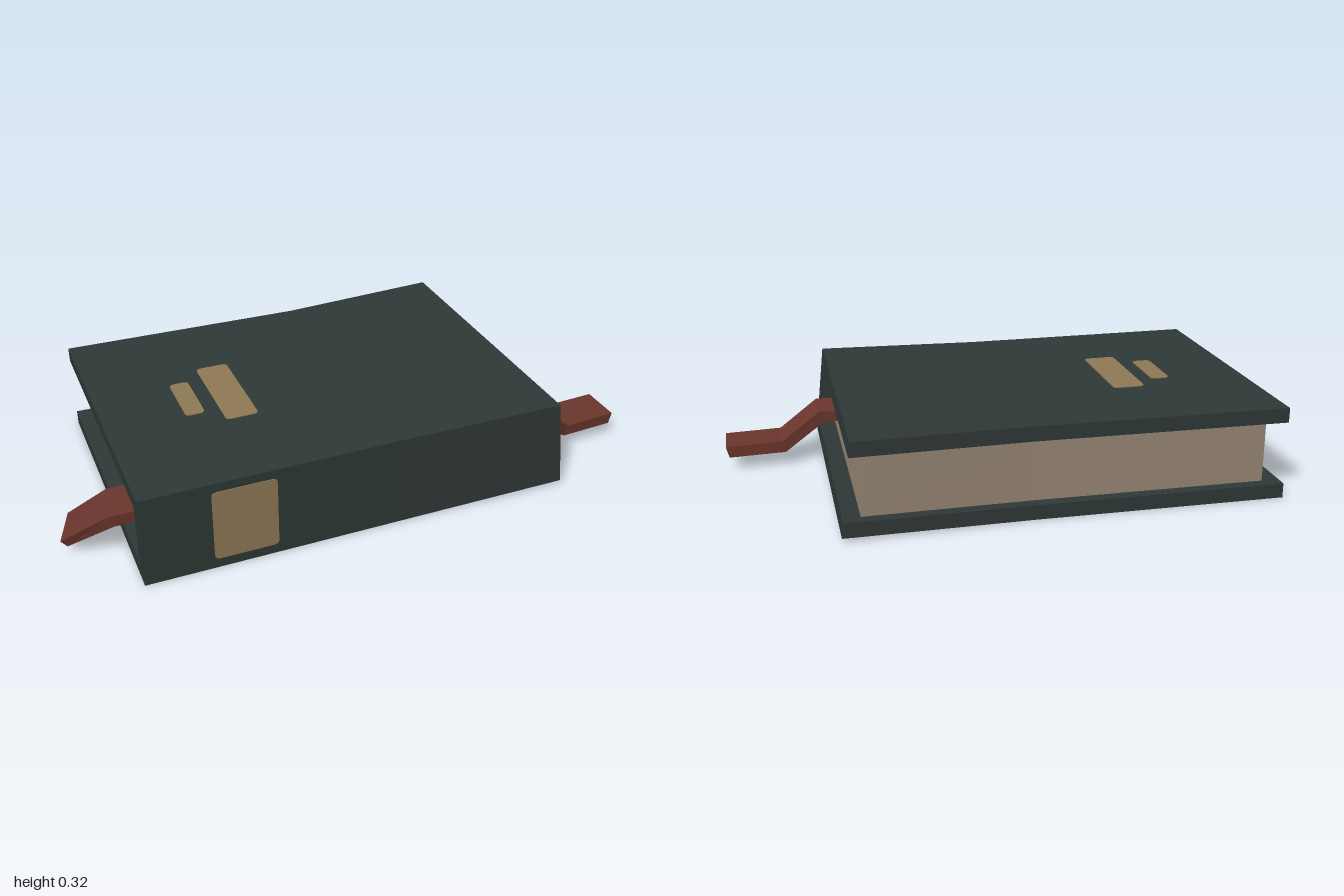
import * as THREE from 'three';

// Four-cornered section in the z-y plane; bottom and top may sit at different x, skew shifts the front edge
const rect = (xBot, xTop, y0, y1, zb, zf, skew = 0) => [
  [xBot, y0, zb], [xBot + skew, y0, zf], [xTop + skew, y1, zf], [xTop, y1, zb],
];

// Joins matching sections, ordered along +x, into a closed faceted solid
function loft(sections) {
  const pos = [];
  const tri = (a, b, c) => pos.push(...a, ...b, ...c);
  const n = sections[0].length;
  for (let s = 0; s < sections.length - 1; s++) {
    const p = sections[s], q = sections[s + 1];
    for (let i = 0; i < n; i++) {
      const j = (i + 1) % n;
      tri(p[i], q[j], p[j]);
      tri(p[i], q[i], q[j]);
    }
  }
  const first = sections[0], last = sections[sections.length - 1];
  const caps = THREE.ShapeUtils.triangulateShape(first.map(([, y, z]) => new THREE.Vector2(z, y)), []);
  for (const [a, b, c] of caps) {
    tri(first[a], first[b], first[c]);
    tri(last[a], last[c], last[b]);
  }
  const geo = new THREE.BufferGeometry();
  geo.setAttribute('position', new THREE.Float32BufferAttribute(pos, 3));
  geo.computeVertexNormals();
  return geo;
}

// C-shaped cover section: back board, spine and front board in one outline
function coverSection(xBot, xTop, y0, y1, zb, zf) {
  const t = 0.05;
  const xAt = (y) => xBot + (xTop - xBot) * (y - y0) / (y1 - y0);
  return [
    [zb, y0], [zf, y0], [zf, y1], [zb, y1],
    [zb, y1 - t], [zf - t, y1 - t], [zf - t, y0 + t], [zb, y0 + t],
  ].map(([z, y]) => [xAt(y), y, z]);
}

// Thin plate with rounded corners, facing +z
function plate(w, h, r = 0.016) {
  const s = new THREE.Shape();
  const a = w / 2, b = h / 2;
  s.moveTo(-a + r, -b);
  s.lineTo(a - r, -b);
  s.quadraticCurveTo(a, -b, a, -b + r);
  s.lineTo(a, b - r);
  s.quadraticCurveTo(a, b, a - r, b);
  s.lineTo(-a + r, b);
  s.quadraticCurveTo(-a, b, -a, b - r);
  s.lineTo(-a, -b + r);
  s.quadraticCurveTo(-a, -b, -a + r, -b);
  return new THREE.ExtrudeGeometry(s, { depth: 0.006, bevelEnabled: false, curveSegments: 3 });
}

export function createModel() {
  const book = new THREE.Group();
  book.name = 'book';
  const material = (name, color) => {
    const m = new THREE.MeshStandardMaterial({ color });
    m.name = name;
    return m;
  };
  const leather = material('dark green leather', 0x2f3937);
  const paper = material('aged paper', 0x978775);
  const gilt = material('dull gold', 0x907a57);
  const cloth = material('red cloth', 0x6b362d);

  const add = (name, geo, mat) => {
    const mesh = new THREE.Mesh(geo, mat);
    mesh.name = name;
    book.add(mesh);
    return mesh;
  };

  // Slightly warped cover
  add('cover', loft([
    coverSection(-0.795, -0.795, 0, 0.315, -0.51, 0.49),
    coverSection(0.05, 0.05, 0, 0.317, -0.487, 0.49),
    coverSection(0.663, 0.625, 0.014, 0.325, -0.51, 0.507),
  ]), leather);

  // Page block, overlapping the inside of the cover a little
  add('pages', loft([
    rect(-0.735, -0.735, 0.045, 0.27, -0.47, 0.45),
    rect(0.05, 0.05, 0.045, 0.272, -0.447, 0.45),
    rect(0.6, 0.575, 0.055, 0.28, -0.47, 0.465),
  ]), paper);

  // Bookmark ribbon ends
  add('ribbonRight', loft([
    rect(0.55, 0.55, 0.14, 0.18, 0.2, 0.35),
    rect(0.655, 0.67, 0.14, 0.18, 0.2, 0.35),
    rect(0.795, 0.805, 0.05, 0.09, 0.17, 0.317),
    rect(0.99, 1.0, 0.05, 0.09, 0.16, 0.305),
  ]), cloth);
  add('ribbonLeft', loft([
    rect(-0.98 + 0.05, -0.95, 0.03, 0.055, 0.11, 0.25, -0.05),
    rect(-0.815, -0.83, 0.14, 0.18, 0.2, 0.35, -0.03),
    rect(-0.7, -0.7, 0.14, 0.18, 0.2, 0.35),
  ]), cloth);

  // Gold panels on the spine and front board
  add('spineLabel', plate(0.21, 0.25), gilt).position.set(-0.465, 0.16, 0.487);
  for (const [name, x, z, w, d] of [
    ['smallCoverPanel', -0.498, -0.01, 0.065, 0.21],
    ['largeCoverPanel', -0.36, -0.01, 0.11, 0.35],
  ]) {
    const panel = add(name, plate(w, d), gilt);
    panel.rotation.x = -Math.PI / 2;
    panel.position.set(x, 0.313, z);
  }
  return book;
}
